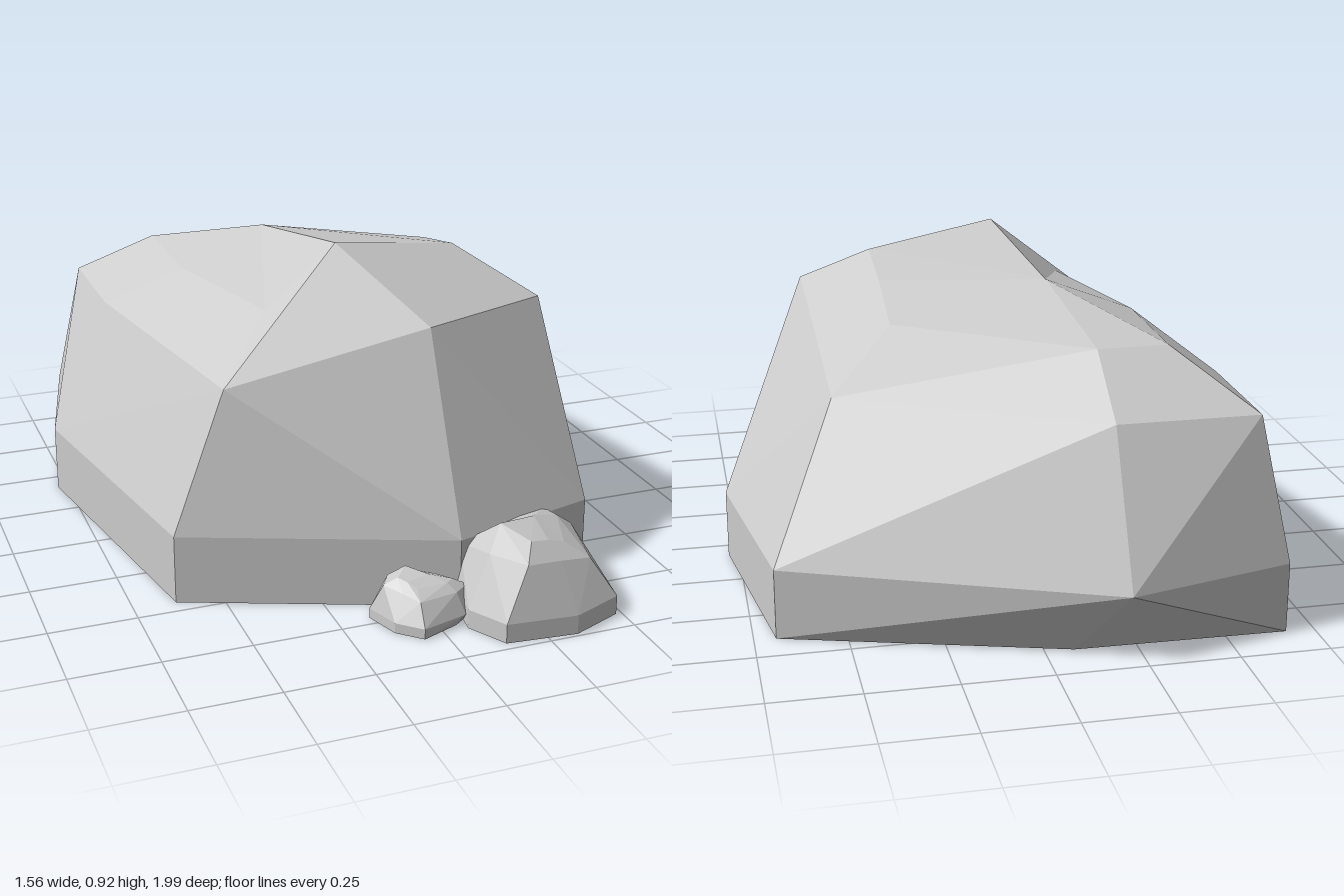
import * as THREE from 'three';

// Faceted rock from four eight-cornered rings, closed by a peak and a flat base.
// Corners run: back, back right, right, front right, front, front left, left, back left.
function rockGeometry() {
  const outline = [[-0.2, -1], [-0.67, -0.88], [-0.78, -0.42], [-0.63, 0.45],
    [0.1, 0.74], [0.54, 0.62], [0.78, -0.07], [0.69, -0.65]];
  const base = outline.map(([x, z]) => [x, 0, z]);
  base[0] = [-0.08, 0, -0.87]; // undercut at the back
  const rings = [
    base,
    outline.map(([x, z]) => [x, 0.2, z]),
    [[-0.2, 0.6, -0.8], [-0.6, 0.6, -0.8], [-0.6, 0.6, -0.42], [-0.47, 0.6, 0.42],
      [0.1, 0.735, 0.5], [0.5, 0.735, 0.35], [0.5, 0.67, -0.07], [0.5, 0.6, -0.44]],
    [[-0.2, 0.745, -0.6], [-0.4, 0.745, -0.6], [-0.4, 0.745, -0.23], [-0.29, 0.745, 0.23],
      [-0.08, 0.92, 0.23], [0.31, 0.86, 0.16], [0.31, 0.82, -0.05], [0.31, 0.745, -0.26]],
  ].map((ring) => ring.map((p) => new THREE.Vector3(...p)));

  const points = [];
  const tri = (...corners) => points.push(...corners);
  // Split each quad along the diagonal that bulges outward
  const quad = (a, b, c, d) => {
    const plane = new THREE.Plane().setFromCoplanarPoints(a, b, c);
    if (plane.distanceToPoint(d) <= 0) { tri(a, b, c); tri(a, c, d); }
    else { tri(a, b, d); tri(b, c, d); }
  };

  const peak = new THREE.Vector3(-0.14, 0.85, -0.25);
  const floor = new THREE.Vector3(0, 0, 0);
  for (let i = 0; i < 8; i++) {
    const j = (i + 1) % 8;
    for (let r = 0; r < 3; r++) {
      quad(rings[r][i], rings[r][j], rings[r + 1][j], rings[r + 1][i]);
    }
    tri(rings[3][i], rings[3][j], peak);
    tri(rings[0][j], rings[0][i], floor);
  }
  const geometry = new THREE.BufferGeometry().setFromPoints(points);
  geometry.computeVertexNormals();
  return geometry;
}

export function createModel() {
  const group = new THREE.Group();
  group.name = 'rocks';
  const geometry = rockGeometry();
  const material = new THREE.MeshStandardMaterial({ color: 0xcccccc, flatShading: true });

  // The two small stones are turned, scaled copies of the boulder
  const addRock = (name, scale, turn, x, z) => {
    const rock = new THREE.Mesh(geometry, material);
    rock.name = name;
    rock.scale.setScalar(scale);
    rock.rotation.y = turn;
    rock.position.set(x, 0, z);
    group.add(rock);
  };
  addRock('boulder', 1, 0, 0, 0);
  addRock('stone', 0.277, -1.33, 0.263, 0.785);
  addRock('pebble', 0.147, -2.487, -0.04, 0.74);
  return group;
}
